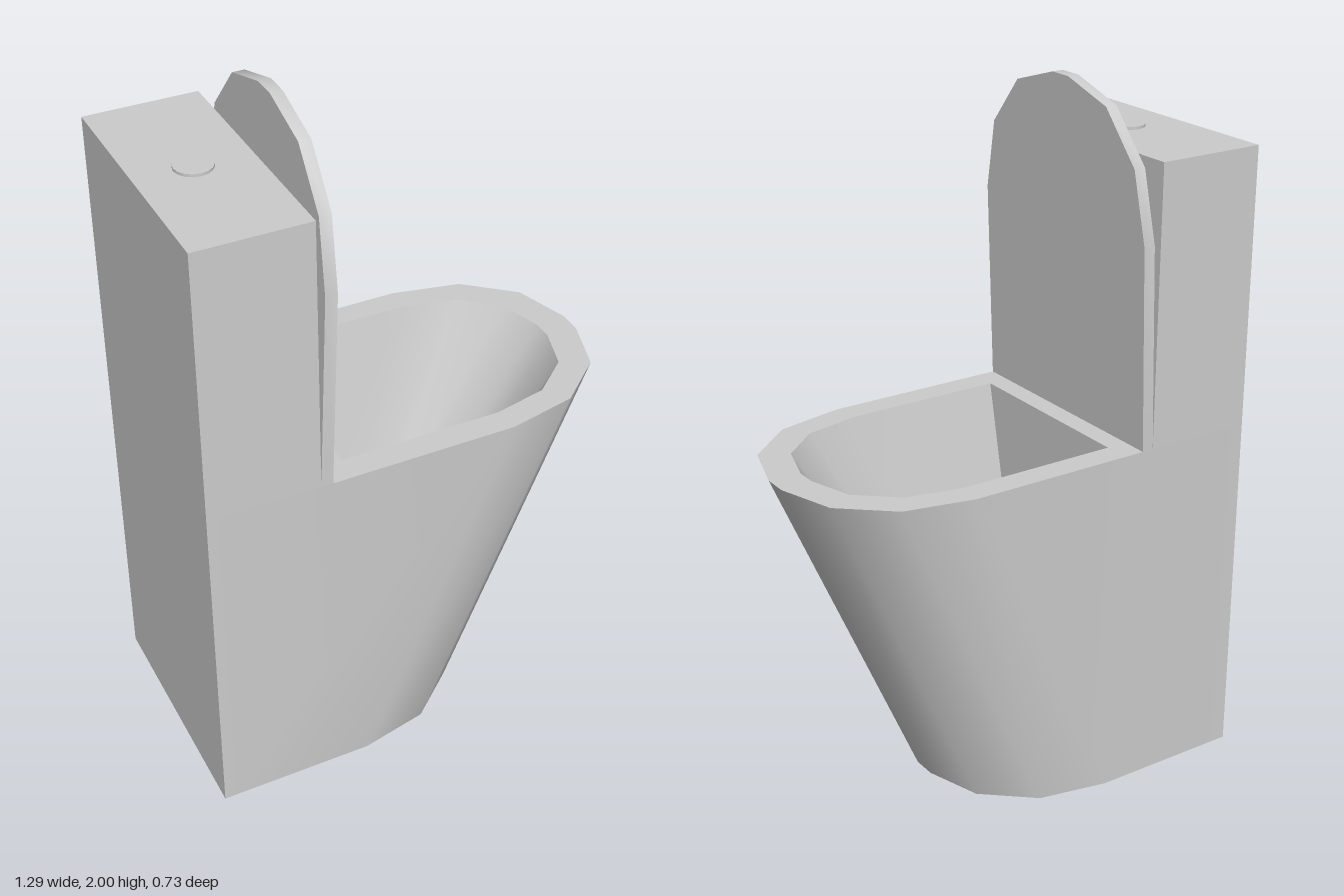
import * as THREE from 'three';
import { toCreasedNormals } from 'three/addons/utils/BufferGeometryUtils.js';

const material = new THREE.MeshStandardMaterial({ color: 0xcccccc });

// Joins rings of [x, y, z] points with quads and closes both ends.
function loft(rings) {
  const pos = [];
  const tri = (...corners) => corners.forEach((p) => pos.push(...p));
  const n = rings[0].length;
  for (let k = 0; k < rings.length - 1; k++) {
    for (let i = 0; i < n; i++) {
      const j = (i + 1) % n;
      const [a, b, c, d] = [rings[k][i], rings[k][j], rings[k + 1][j], rings[k + 1][i]];
      tri(a, b, c);
      tri(a, c, d);
    }
  }
  const first = rings[0], last = rings[rings.length - 1];
  for (let i = 1; i < n - 1; i++) {
    tri(first[0], first[i + 1], first[i]);
    tri(last[0], last[i], last[i + 1]);
  }
  const geometry = new THREE.BufferGeometry();
  geometry.setAttribute('position', new THREE.Float32BufferAttribute(pos, 3));
  return toCreasedNormals(geometry, 0.7);
}

// Mirrors half an outline of [length, halfWidth] pairs into a closed one.
const mirrored = (half) => [...half, ...half.map(([u, w]) => [u, -w]).reverse()];

// Horizontal ring: straight sides from the back, rounded nose at the front.
const ring = (y, half) => mirrored(half).map(([x, z]) => [x, y, z]);

export function createModel() {
  const group = new THREE.Group();
  const add = (name, geometry) => {
    const mesh = new THREE.Mesh(geometry, material);
    mesh.name = name;
    group.add(mesh);
    return mesh;
  };

  const back = -0.645, tankFront = -0.325, rimY = 1.03, tankTop = 1.83;
  const nose = [[0.25, 0.363], [0.45, 0.32], [0.59, 0.2], [0.642, 0.035]];

  // Pedestal, rim and hollow basin in one continuous skin
  add('bowl', loft([
    ring(0, [[back, 0.363], ...nose.map(([x, z]) => [x - 0.445, z])]),
    ring(rimY, [[back, 0.363], ...nose]),
    ring(rimY, [[-0.23, 0.287], [0.24, 0.287], [0.4, 0.252], [0.51, 0.158], [0.55, 0.028]]),
    ring(0.31, [[-0.23, 0.132], [-0.02, 0.132], [0.05, 0.115], [0.1, 0.072], [0.12, 0.013]]),
  ]));

  // Water tank behind the bowl
  const tank = add('tank', new THREE.BoxGeometry(tankFront - back, tankTop - rimY, 0.726));
  tank.position.set((back + tankFront) / 2, (rimY + tankTop) / 2, 0);

  // Flush button on the tank
  const button = add('flushButton', new THREE.CylinderGeometry(0.053, 0.053, 0.016, 16));
  button.position.set(-0.485, tankTop, 0);

  // Raised lid, leaning slightly forward
  const lidHalf = [[rimY, -0.363], [1.61, -0.363], [1.81, -0.32], [1.95, -0.2], [2.0, -0.035]];
  const lidRing = (x) => mirrored(lidHalf).map(([y, z]) => [x + (y - rimY) * 0.035, y, z]);
  add('lid', loft([lidRing(tankFront), lidRing(tankFront + 0.034)]));

  return group;
}
